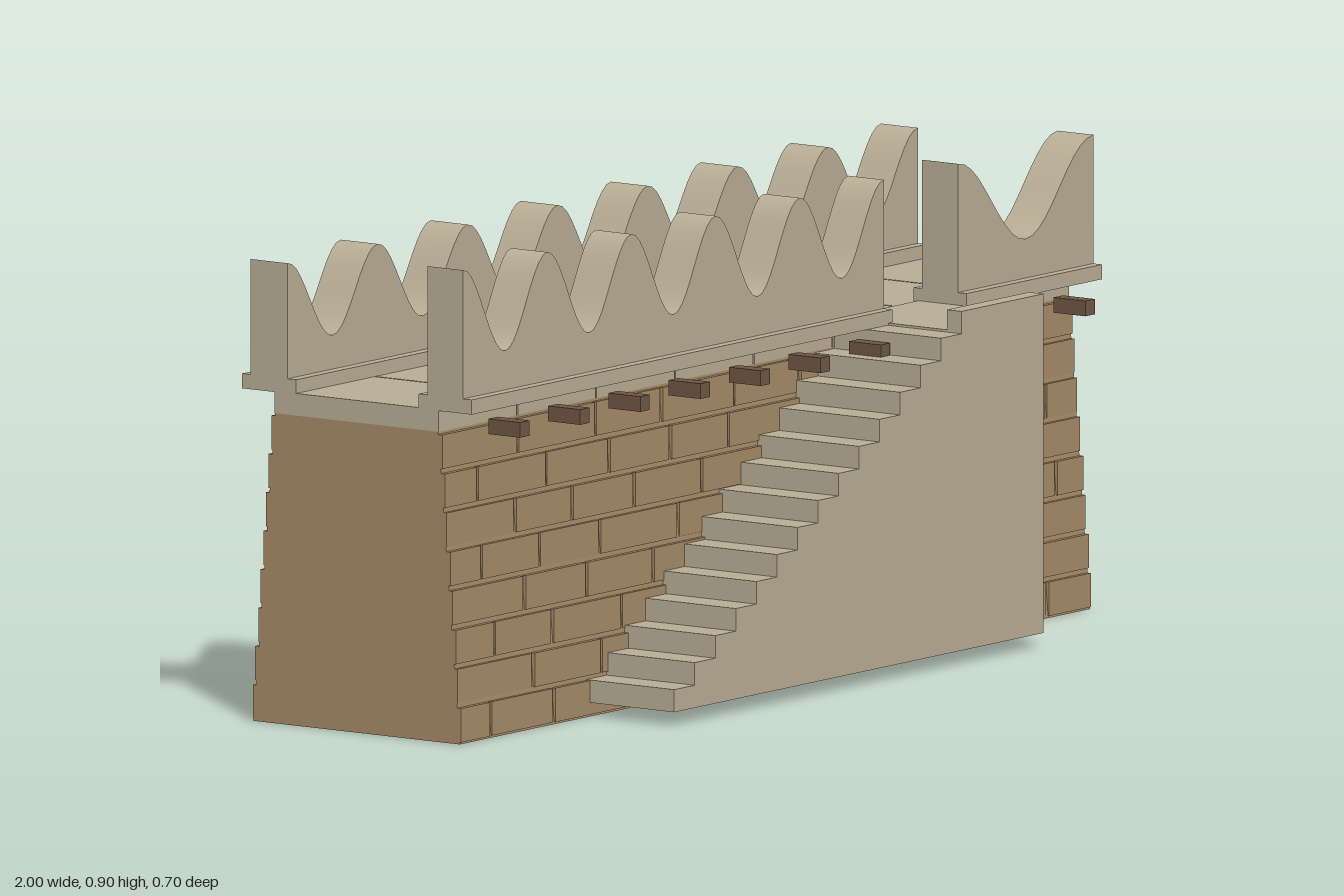
import * as THREE from 'three';
import { toCreasedNormals } from 'three/addons/utils/BufferGeometryUtils.js';

const material = (name, color, side = THREE.FrontSide) => {
  const m = new THREE.MeshStandardMaterial({ color, side });
  m.name = name;
  return m;
};

export function createModel() {
  const brickMat = material('brown brick', 0xa88c68, THREE.DoubleSide);
  const stone = material('pale stone', 0xbaae95);
  const wood = material('dark wood', 0x6e5844);
  const model = new THREE.Group();
  model.name = 'rampartWall';

  const add = (name, geometry, mat, parent = model) => {
    const mesh = new THREE.Mesh(geometry, mat);
    mesh.name = name;
    parent.add(mesh);
    return mesh;
  };
  // box given by its limits on each axis
  const block = (name, x0, x1, y0, y1, z0, z1, mat, parent) => {
    const g = new THREE.BoxGeometry(x1 - x0, y1 - y0, z1 - z0);
    g.translate((x0 + x1) / 2, (y0 + y1) / 2, (z0 + z1) / 2);
    return add(name, g, mat, parent);
  };
  const group = (name) => {
    const g = new THREE.Group();
    g.name = name;
    model.add(g);
    return g;
  };

  // tapered wall core, open underneath
  const coreTop = 0.588, midZ = -0.085;
  const halfDepth = (y) => 0.239 - 0.085 * y;
  const core = new THREE.BoxGeometry(2, coreTop, 2);
  core.translate(0, coreTop / 2, 0);
  const pos = core.attributes.position;
  for (let i = 0; i < pos.count; i++) {
    pos.setZ(i, midZ + pos.getZ(i) * halfDepth(pos.getY(i)));
  }
  const index = Array.from(core.index.array);
  index.splice(18, 6);
  core.setIndex(index);
  core.clearGroups();
  core.computeVertexNormals();
  add('wallCore', core, brickMat);

  // staggered brick courses on both faces
  let seed = 7;
  const random = () => (seed = (seed * 16807) % 2147483647) / 2147483647;
  const rows = 8, rowHeight = coreTop / rows;
  for (const side of [1, -1]) {
    const bricks = group(side > 0 ? 'frontBricks' : 'backBricks');
    for (let r = 0; r < rows; r++) {
      const y0 = r * rowHeight + 0.004, y1 = (r + 1) * rowHeight - 0.005;
      const face = halfDepth((y0 + y1) / 2);
      let x = -1;
      let next = -1 + (r % 2 ? 0.21 : 0.1) + random() * 0.04;
      while (x < 0.995) {
        if (next > 0.93) next = 1;
        const outer = midZ + side * (face + 0.004 + random() * 0.003);
        const inner = midZ + side * (face - 0.005);
        block('brick', x, next - (next < 1 ? 0.008 : 0), y0, y1,
          Math.min(inner, outer), Math.max(inner, outer), brickMat, bricks);
        x = next;
        next += 0.18 + random() * 0.07;
      }
    }
  }

  // walkway slabs with narrow joints
  const walkway = group('walkway');
  for (let i = 0; i < 8; i++) {
    const x0 = -1 + i * 0.25;
    block('walkwaySlab', x0 + (i ? 0.002 : 0), x0 + (i < 7 ? 0.248 : 0.25),
      coreTop, 0.63, -0.275, 0.105, stone, walkway);
  }

  // wavy parapet standing on a wider moulding
  const parapet = (name, x0, x1, waves, low, high, z0, z1) => {
    const g = group(name);
    const shape = new THREE.Shape();
    shape.moveTo(x0, 0.628);
    shape.lineTo(x1, 0.628);
    const n = waves * 20;
    for (let i = n; i >= 0; i--) {
      const c = (1 + Math.cos((i / n) * waves * Math.PI * 2)) / 2;
      shape.lineTo(x0 + (x1 - x0) * (i / n), low + (high - low) * c);
    }
    shape.closePath();
    const geo = new THREE.ExtrudeGeometry(shape, { depth: z1 - z0, bevelEnabled: false });
    geo.translate(0, 0, z0);
    add('waveCrest', toCreasedNormals(geo, 0.6), stone, g);
    block('moulding', x0, x1, 0.628, 0.656, z0 - 0.02, z1 + 0.02, stone, g);
  };
  parapet('frontParapetRight', -1, 0.335, 5, 0.73, 0.9, 0.079, 0.162);
  parapet('frontParapetLeft', 0.57, 1, 1, 0.73, 0.9, 0.079, 0.162);
  parapet('backParapet', -1, 1, 7, 0.72, 0.875, -0.331, -0.245);

  // staircase and landing as one stepped profile
  const steps = 14, stairX = -0.59, landingX = 0.322, base = 0.027, top = 0.6275;
  const run = (landingX - stairX) / steps, rise = (top - base) / steps;
  const profile = new THREE.Shape();
  profile.moveTo(0.582, base);
  profile.lineTo(0.582, top);
  for (let i = steps; i > 0; i--) {
    profile.lineTo(stairX + (i - 1) * run, base + i * rise);
    profile.lineTo(stairX + (i - 1) * run, base + (i - 1) * rise);
  }
  const stairs = new THREE.ExtrudeGeometry(profile, { depth: 0.282, bevelEnabled: false });
  stairs.translate(0, 0, 0.07);
  add('staircase', stairs, stone);
  // landing surface covering the walkway joint, and its kerb
  block('landing', landingX, 0.582, 0.62, 0.632, 0.07, 0.352, stone);
  block('landingKerb', landingX, 0.582, 0.62, 0.67, 0.318, 0.352, stone);

  // beam ends along the front
  const beams = group('beamEnds');
  for (const x of [-0.905, -0.715, -0.524, -0.333, -0.142, 0.048, 0.239, 0.675, 0.888]) {
    block('beamEnd', x - 0.015, x + 0.015, 0.579, 0.608, 0.162, 0.236, wood, beams);
  }

  return model;
}
